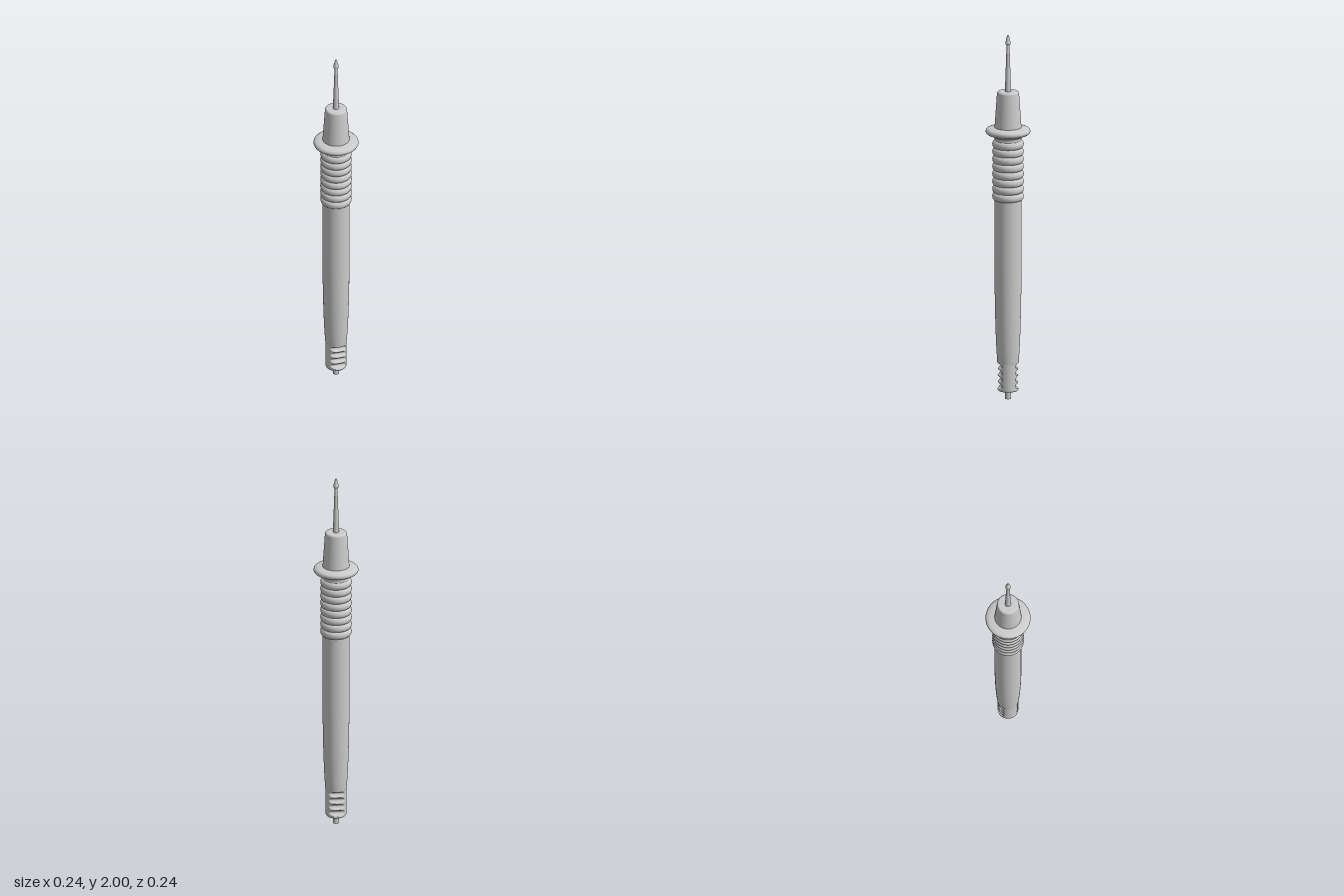
import * as THREE from 'three';

const material = new THREE.MeshStandardMaterial({ color: 0xcccccc });

// Lathe from [radius, y] pairs, bottom to top; a pair listed twice makes a sharp edge
function turned(name, profile, sides = 64) {
  const points = profile.map(([r, y]) => new THREE.Vector2(r, y));
  const mesh = new THREE.Mesh(new THREE.LatheGeometry(points, sides), material);
  mesh.name = name;
  return mesh;
}

// Points of a rounded bulge running from one radius and height to another
function bulge(inner, outer, y0, y1, steps = 10) {
  return Array.from({ length: steps + 1 }, (_, i) => {
    const a = Math.PI * i / steps;
    return [inner + (outer - inner) * Math.sin(a), (y0 + y1) / 2 - (y1 - y0) / 2 * Math.cos(a)];
  });
}

export function createModel() {
  const group = new THREE.Group();
  group.name = 'testProbe';

  // Cable stub at the bottom
  group.add(turned('cable', [[0, 0], [0.017, 0], [0.017, 0], [0.017, 0.06]], 32));

  // Strain relief: a round sleeve with grooves cut flat into its front and back
  const bottom = 0.045, top = 0.2, grooves = 4, pitch = 0.036;
  const sleeve = [[0, bottom], [0.05, bottom], [0.05, bottom], [0.054, bottom + 0.004]];
  for (let i = 1; i <= 64; i++) sleeve.push([0.055, bottom + 0.004 + (top - bottom - 0.004) * i / 64]);
  const relief = turned('strainRelief', sleeve, 96);
  const pos = relief.geometry.attributes.position;
  for (let i = 0; i < pos.count; i++) {
    const t = (pos.getY(i) - bottom - 0.012) / pitch;
    if (t < 0 || t > grooves) continue;
    const limit = 0.055 - 0.02 * Math.pow(Math.sin(Math.PI * (t % 1)), 0.8);
    pos.setZ(i, THREE.MathUtils.clamp(pos.getZ(i), -limit, limit));
  }
  relief.geometry.computeVertexNormals();
  group.add(relief);

  // Long handle, tapering towards the strain relief
  group.add(turned('handle', [
    [0, 0.197], [0.055, 0.197], [0.055, 0.197], [0.057, 0.2], [0.061, 0.26], [0.0645, 0.33],
    [0.067, 0.4], [0.0695, 0.5], [0.071, 0.6], [0.072, 0.7], [0.072, 1.12],
  ]));

  // Ribbed finger grip
  const ribs = 8, ribHeight = 0.041, gripStart = 1.093;
  const grip = [];
  for (let i = 0; i < ribs; i++) {
    const y = gripStart + i * ribHeight;
    grip.push(...bulge(0.07, 0.084, y, y + ribHeight));
  }
  grip.push([0.072, 1.435], [0.076, 1.445]);
  group.add(turned('grip', grip));

  // Finger guard flange
  group.add(turned('fingerGuard', [
    [0.07, 1.435], [0.078, 1.444], [0.092, 1.45], [0.108, 1.455], [0.116, 1.461], [0.12, 1.47],
    [0.118, 1.479], [0.111, 1.485], [0.098, 1.489], [0.082, 1.491], [0.068, 1.493],
  ]));

  // Tapered nose with a rounded rim
  group.add(turned('nose', [
    [0.072, 1.485], [0.0705, 1.51], [0.059, 1.677], [0.0575, 1.684], [0.054, 1.688],
    [0.049, 1.69], [0, 1.69],
  ]));

  // Metal needle ending in a pointed barb
  group.add(turned('needle', [
    [0.017, 1.685], [0.016, 1.71], [0.0095, 1.89], [0.008, 1.945], [0.008, 1.945],
    [0.014, 1.949], [0.0145, 1.953], [0.013, 1.962], [0.005, 1.993], [0.003, 1.998], [0, 2],
  ], 32));

  return group;
}
